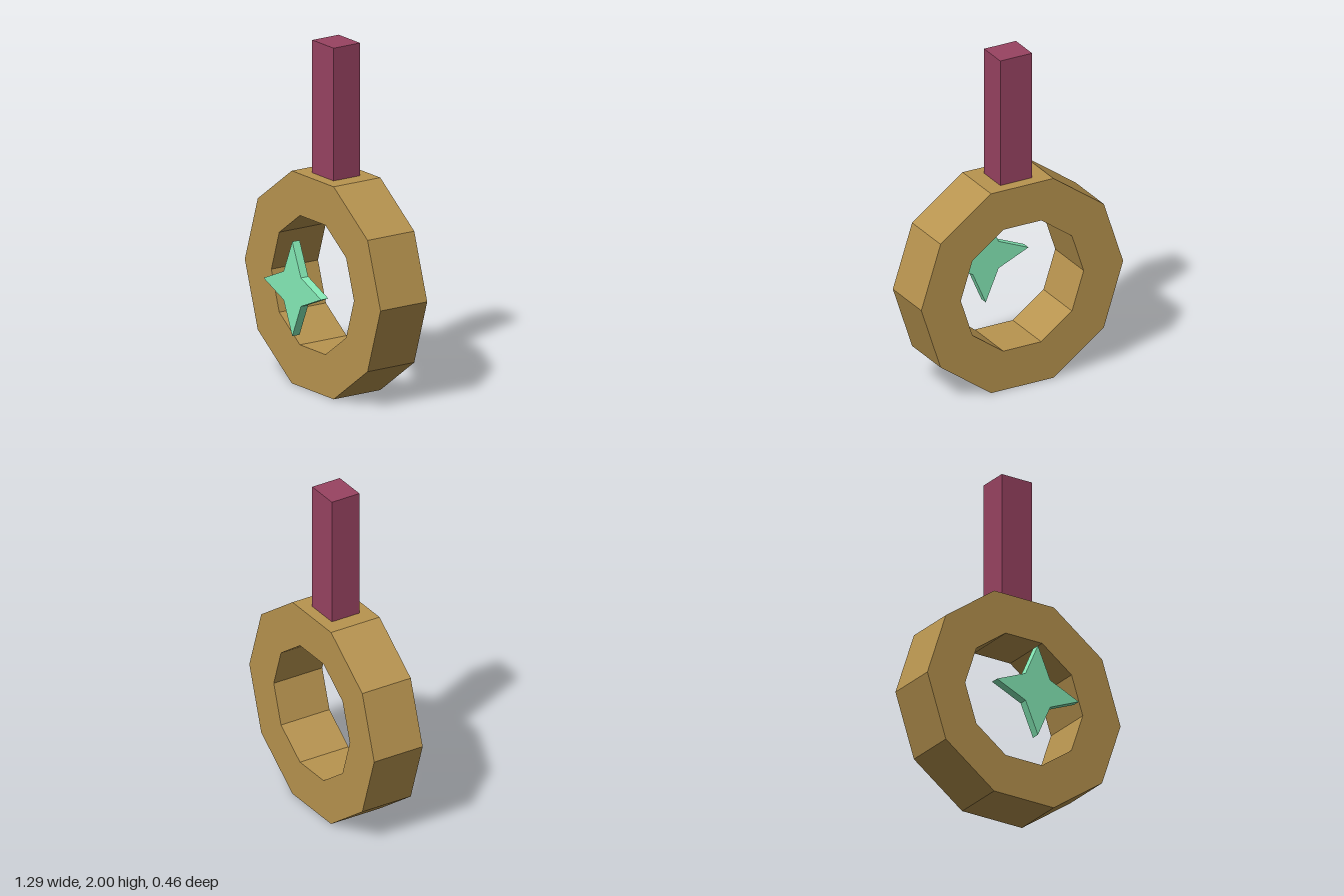
import * as THREE from 'three';

const CENTRE_Y = 0.616;

// Closed outline whose corners alternate through the given radii
function outline(target, count, radii) {
  const points = [];
  for (let i = 0; i < count; i++) {
    const angle = (i / count) * Math.PI * 2;
    const r = radii[i % radii.length];
    points.push(new THREE.Vector2(Math.cos(angle) * r, Math.sin(angle) * r));
  }
  return target.setFromPoints(points).closePath();
}

function addPart(group, name, geometry, color, y, z) {
  const material = new THREE.MeshStandardMaterial({ color, flatShading: true });
  const mesh = new THREE.Mesh(geometry, material);
  mesh.name = name;
  mesh.position.set(0, y, z);
  group.add(mesh);
}

export function createModel() {
  const group = new THREE.Group();
  group.name = 'ringPendant';

  // Ten-sided ring with a ten-sided hole
  const ringShape = outline(new THREE.Shape(), 10, [0.647]);
  ringShape.holes.push(outline(new THREE.Path(), 10, [0.394]));
  const ring = new THREE.ExtrudeGeometry(ringShape, { depth: 0.32, bevelEnabled: false });
  addPart(group, 'ring', ring, 0xb8944f, CENTRE_Y, -0.23);

  // Square post standing on the ring's top facet
  const post = new THREE.BoxGeometry(0.204, 0.769, 0.182);
  addPart(group, 'post', post, 0x994362, 2 - 0.769 / 2, -0.071);

  // Four-pointed star floating in front of the hole
  const starShape = outline(new THREE.Shape(), 8, [0.274, 0.117]);
  const star = new THREE.ExtrudeGeometry(starShape, { depth: 0.05, bevelEnabled: false });
  addPart(group, 'star', star, 0x86ecb8, CENTRE_Y + 0.001, 0.18);

  return group;
}
